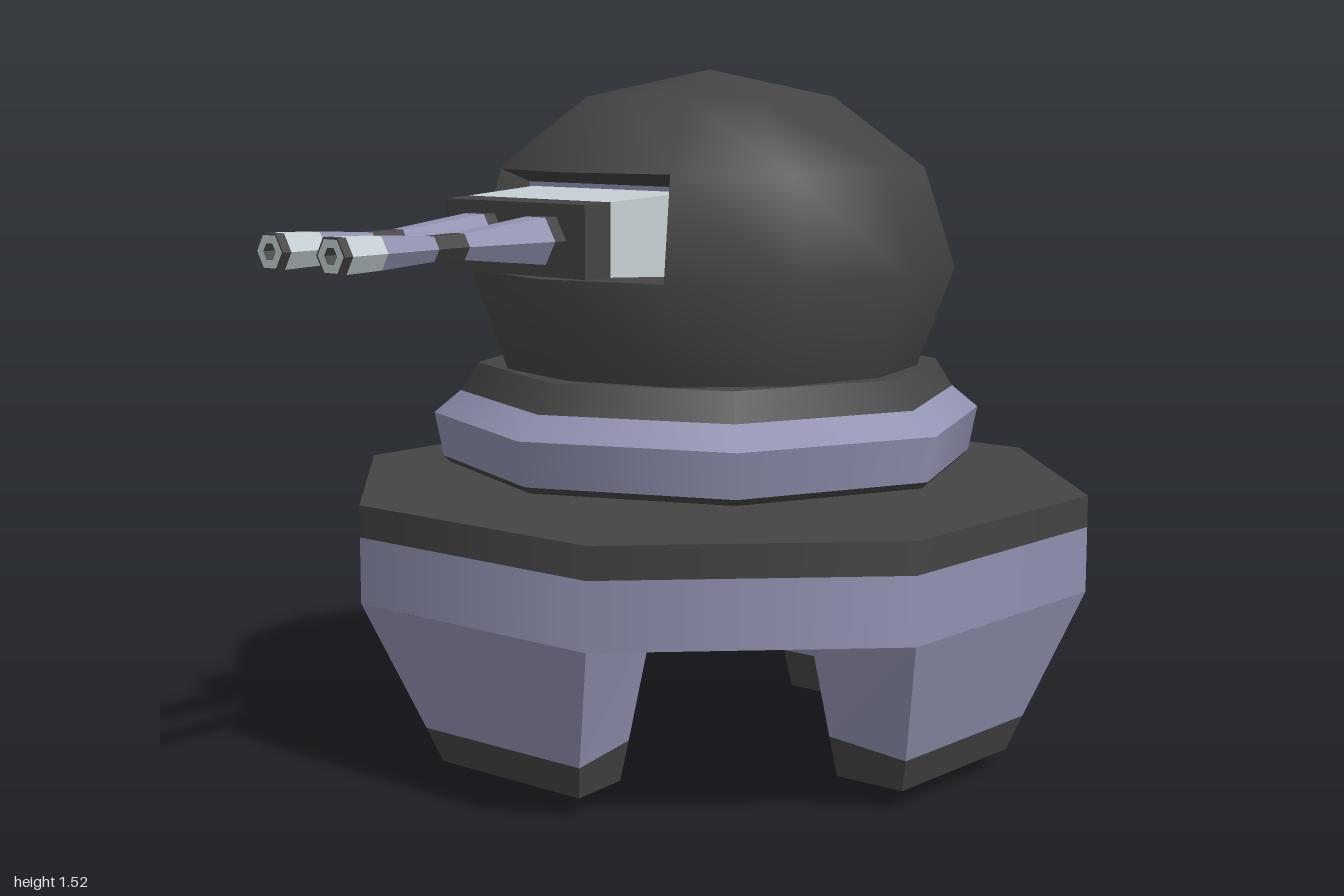
import * as THREE from 'three';

export function createModel() {
  const mat = (name, color) => {
    const m = new THREE.MeshStandardMaterial({ color });
    m.name = name;
    return m;
  };
  const dark = mat('charcoal', 0x444444);
  const lilac = mat('lilacGrey', 0x9292b2);
  const pale = mat('paleMetal', 0xc6d0d4);

  const model = new THREE.Group();
  model.name = 'gunTurret';

  function add(parent, name, geometry, material) {
    const mesh = new THREE.Mesh(geometry, material);
    mesh.name = name;
    parent.add(mesh);
    return mesh;
  }

  // Turned part: each step [radius, height, material] becomes one crisp band
  function bands(name, steps, sides, phi = 0, flat = false) {
    const group = new THREE.Group();
    group.name = name;
    for (let i = 1; i < steps.length; i++) {
      const pts = [steps[i - 1], steps[i]].map(s => new THREE.Vector2(s[0], s[1]));
      let g = new THREE.LatheGeometry(pts, sides, phi);
      if (flat) {
        g = g.toNonIndexed();
        g.computeVertexNormals();
      }
      add(group, name + 'Band' + i, g, steps[i][2]);
    }
    return group;
  }

  // Flat-faced loft between two rings, with optional fan caps
  function loft(low, high, { sides = true, lowCap = false, highCap = false } = {}) {
    const pos = [];
    const tri = (a, b, c) => pos.push(...a, ...b, ...c);
    const n = low.length;
    if (sides) {
      for (let i = 0; i < n; i++) {
        const j = (i + 1) % n;
        tri(low[i], low[j], high[j]);
        tri(low[i], high[j], high[i]);
      }
    }
    for (let i = 1; i < n - 1; i++) {
      if (lowCap) tri(low[0], low[i + 1], low[i]);
      if (highCap) tri(high[0], high[i], high[i + 1]);
    }
    const g = new THREE.BufferGeometry();
    g.setAttribute('position', new THREE.Float32BufferAttribute(pos, 3));
    g.computeVertexNormals();
    return g;
  }

  // Octagonal base slab
  const base = bands('base', [
    [0, 0.39], [0.855, 0.39, dark], [0.855, 0.535, lilac],
    [0.855, 0.605, dark], [0, 0.605, dark],
  ], 8, Math.PI / 8);
  base.position.z = -0.21;
  model.add(base);

  // Four tapering legs with dark feet, one under each straight side
  const legRing = (wo, yo, zo, wi, yi, zi) =>
    [[-wo, yo, zo], [wo, yo, zo], [wi, yi, zi], [-wi, yi, zi]];
  const hip = legRing(0.327, 0.39, 0.79, 0.16, 0.39, 0.385);
  const ankle = legRing(0.225, 0.115, 0.70, 0.114, 0.09, 0.423);
  const sole = legRing(0.2, 0.04, 0.675, 0.1, 0, 0.435);
  for (let i = 0; i < 4; i++) {
    const leg = new THREE.Group();
    leg.name = 'leg' + (i + 1);
    add(leg, 'shin', loft(ankle, hip), lilac);
    add(leg, 'foot', loft(sole, ankle, { lowCap: true }), dark);
    leg.rotation.y = i * Math.PI / 2;
    base.add(leg);
  }

  // Turret, set slightly off centre
  const turret = new THREE.Group();
  turret.name = 'turret';
  turret.position.set(-0.015, 0, -0.21);
  model.add(turret);

  turret.add(bands('neck', [[0.155, 0.6], [0.155, 0.65, dark]], 8));
  turret.add(bands('collar', [
    [0, 0.64], [0.59, 0.64, dark], [0.605, 0.655, dark], [0.625, 0.755, lilac],
    [0.565, 0.805, lilac], [0.525, 0.868, dark], [0, 0.868, dark],
  ], 8));

  // Smooth dome with two front facets left out for the gun port
  const profile = [[0.475, 0.868], [0.555, 1.09], [0.485, 1.31], [0.28, 1.465], [0, 1.525]];
  const domeGeo = new THREE.LatheGeometry(profile.map(p => new THREE.Vector2(...p)), 12);
  const rows = profile.length - 1;
  const kept = Array.from(domeGeo.index.array).filter((_, k) => {
    const quad = Math.floor(k / 6);
    const segment = Math.floor(quad / rows);
    return !(quad % rows === 1 && (segment === 0 || segment === 11));
  });
  domeGeo.setIndex(kept);
  add(turret, 'dome', domeGeo, dark);

  // Recessed gun port
  const rim = (r, y, deg) => {
    const a = THREE.MathUtils.degToRad(deg);
    return [r * Math.sin(a), y, r * Math.cos(a)];
  };
  const mouth = [
    ...[-30, 0, 30].map(d => rim(0.555, 1.09, d)),
    ...[30, 0, -30].map(d => rim(0.485, 1.31, d)),
  ];
  const back = mouth.map(([x, y]) => [Math.sign(Math.round(x * 100)) * 0.235, y < 1.2 ? 1.092 : 1.28, 0.34]);
  add(turret, 'portWalls', loft([...back].reverse(), [...mouth].reverse()), dark);
  add(turret, 'portBack', loft(back, back, { sides: false, highCap: true }), lilac);

  // Gun mount
  const rect = (w, y0, y1, z) => [[-w, y0, z], [w, y0, z], [w, y1, z], [-w, y1, z]];
  add(turret, 'gunMount', loft(rect(0.225, 1.095, 1.27, 0.34), rect(0.203, 1.105, 1.258, 0.56)), pale);
  add(turret, 'gunPlate', loft(rect(0.203, 1.103, 1.258, 0.56), rect(0.2, 1.105, 1.255, 0.633),
    { lowCap: true, highCap: true }), dark);

  // Twin six-sided barrels
  for (const side of [-1, 1]) {
    const barrel = bands(side < 0 ? 'rightBarrel' : 'leftBarrel', [
      [0.055, 0.62], [0.055, 0.665, dark], [0.03, 0.88, lilac], [0.028, 0.96, dark],
      [0.037, 1.10, lilac], [0.04, 1.19, pale], [0.04, 1.21, dark],
      [0.036, 1.21, dark], [0.018, 1.21, pale], [0.018, 1.17, dark], [0, 1.17, dark],
    ], 6, Math.PI / 6, true);
    barrel.rotation.x = Math.PI / 2;
    barrel.position.set(0.007 + side * 0.087, 1.181, 0);
    turret.add(barrel);
  }

  return model;
}
